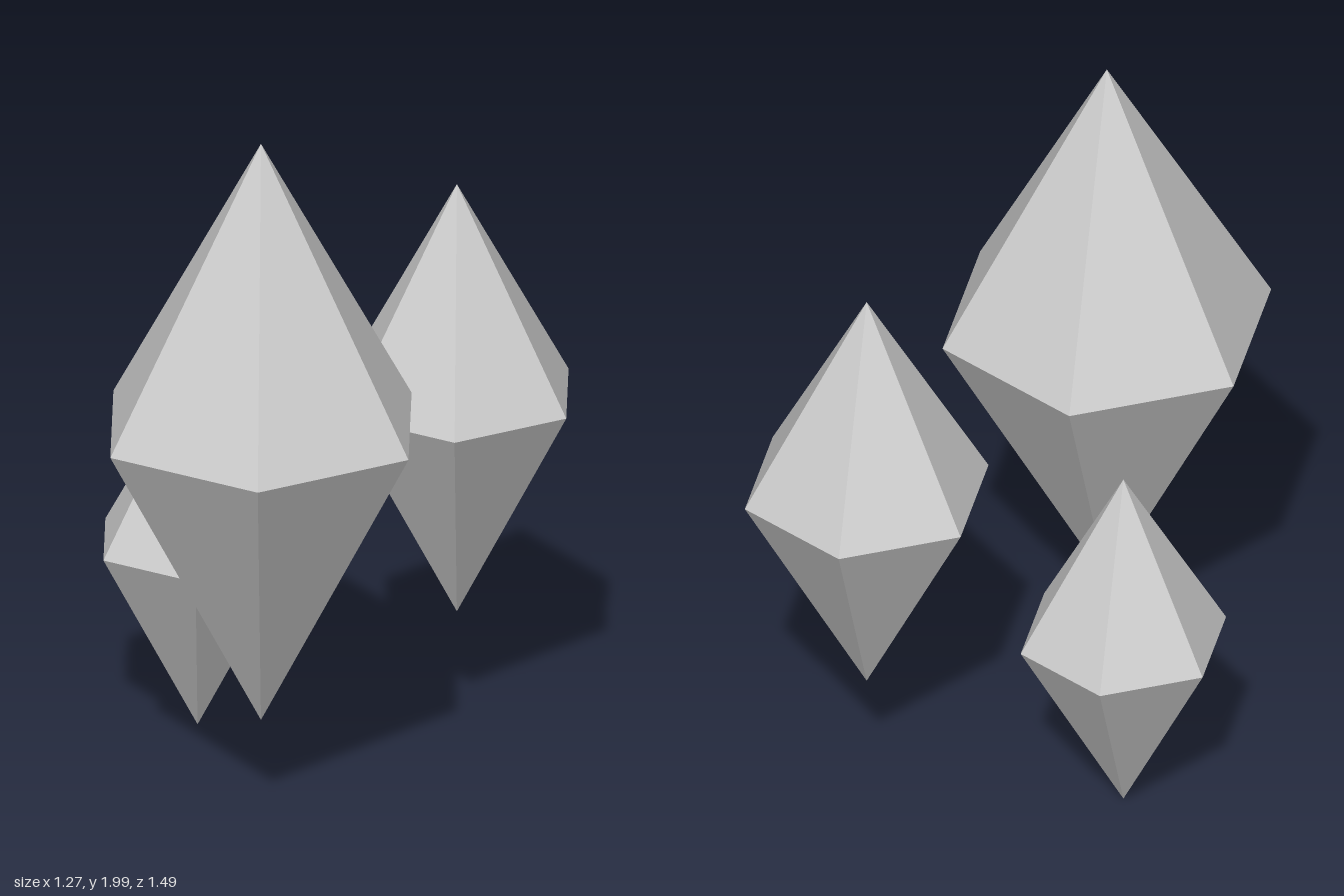
import * as THREE from 'three';

const SIDES = 6;
const UP = 1.777;   // tip height above the girdle, per unit radius
const DOWN = 1.86;  // point depth below the girdle, per unit radius

const material = new THREE.MeshStandardMaterial({ color: 0xcccccc, flatShading: true });

// Six-sided bipyramid: two open cones meeting at the girdle, corners on +z and -z
function makeCrystal(name, radius, x, girdleY, z) {
  const crystal = new THREE.Group();
  crystal.name = name;

  const up = radius * UP;
  const crown = new THREE.Mesh(new THREE.ConeGeometry(radius, up, SIDES, 1, true), material);
  crown.name = 'crown';
  crown.position.y = up / 2;

  const down = radius * DOWN;
  const point = new THREE.Mesh(new THREE.ConeGeometry(radius, down, SIDES, 1, true), material);
  point.name = 'point';
  point.rotation.x = Math.PI;
  point.position.y = -down / 2;

  crystal.add(crown, point);
  crystal.position.set(x, girdleY, z);
  return crystal;
}

export function createModel() {
  const model = new THREE.Group();
  model.name = 'crystalCluster';
  model.add(
    makeCrystal('largeCrystal', 0.472, -0.195, 1.162, 0.272),
    makeCrystal('mediumCrystal', 0.35, 0.33, 0.978, -0.396),
    makeCrystal('smallCrystal', 0.295, -0.38, 0.555, -0.346),
  );
  return model;
}
